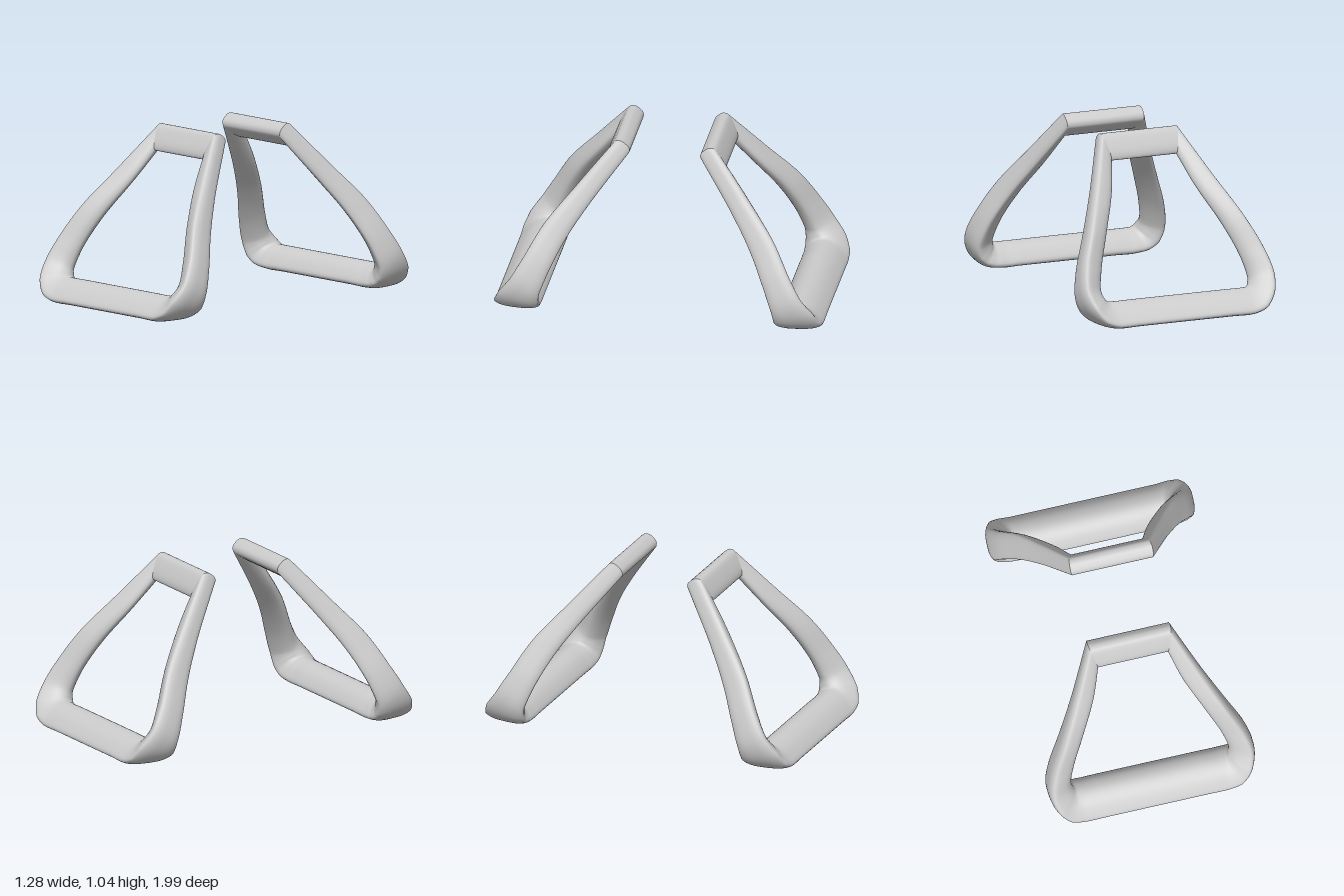
import * as THREE from 'three';

// Half of the frame, from the top corner down to the bottom bar:
// outer point, inner point, half thickness, tilt of the section in degrees
const STATIONS = [
  [[0.255, 1.022, 0.24], [0.215, 0.89, 0.36], 0.055, 40],
  [[0.40, 0.74, 0.465], [0.275, 0.72, 0.49], 0.065, 37],
  [[0.515, 0.527, 0.625], [0.38, 0.51, 0.64], 0.08, 31],
  [[0.605, 0.33, 0.73], [0.455, 0.33, 0.735], 0.087, 28],
  [[0.635, 0.19, 0.80], [0.485, 0.20, 0.79], 0.10, 24],
  [[0.605, 0.09, 0.845], [0.478, 0.168, 0.81], 0.125, 14],
  [[0.54, 0.025, 0.86], [0.463, 0.15, 0.835], 0.138, 4],
  [[0.45, 0, 0.86], [0.43, 0.147, 0.845], 0.14, 0],
  [[0.30, 0, 0.86], [0.30, 0.147, 0.845], 0.14, 0],
];

// D-shaped section: x = depth from the flat outer side, y = across the thickness
const SECTION = new THREE.CatmullRomCurve3(
  [[0, 0], [0.05, 0.7], [0.2, 1], [0.55, 0.8], [0.86, 0.45], [1, 0],
    [0.86, -0.45], [0.55, -0.8], [0.2, -1], [0.05, -0.7]]
    .map(([u, v]) => new THREE.Vector3(u, v, 0)), true).getPoints(40).slice(0, -1);

// Skin a row of closed rings
function loft(rings) {
  const n = rings[0].length, index = [];
  for (let i = 0; i < rings.length - 1; i++) {
    for (let j = 0; j < n; j++) {
      const k = (j + 1) % n;
      const a = i * n + j, b = i * n + k, c = a + n, d = b + n;
      index.push(a, b, c, b, d, c);
    }
  }
  const geometry = new THREE.BufferGeometry().setFromPoints(rings.flat());
  geometry.setIndex(index);
  geometry.computeVertexNormals();
  return geometry;
}

function frameRings() {
  const mirror = ([x, y, z]) => [-x, y, z];
  const all = [...STATIONS,
    ...STATIONS.map(([o, i, h, a]) => [mirror(o), mirror(i), h, a]).reverse()];
  const curve = (pick) => new THREE.CatmullRomCurve3(all.map(pick));
  const outer = curve(s => new THREE.Vector3(...s[0]));
  const inner = curve(s => new THREE.Vector3(...s[1]));
  // Thickness vectors, interpolated between stations
  const across = all.map(([, , h, a]) => {
    const r = THREE.MathUtils.degToRad(a);
    return new THREE.Vector3(0, Math.sin(r) * h, Math.cos(r) * h);
  });
  const steps = (all.length - 1) * 6, rings = [];
  for (let s = 0; s <= steps; s++) {
    const t = s / steps, f = t * (all.length - 1);
    const k = Math.min(Math.floor(f), all.length - 2);
    const o = outer.getPoint(t), depth = inner.getPoint(t).sub(o);
    const e = across[k].clone().lerp(across[k + 1], f - k);
    rings.push(SECTION.map(p =>
      o.clone().addScaledVector(depth, p.x).addScaledVector(e, p.y)));
  }
  return rings;
}

export function createModel() {
  const model = new THREE.Group();
  model.name = 'framePair';
  const grey = new THREE.MeshStandardMaterial({ color: 0xcccccc });
  grey.name = 'light grey';

  const rings = frameRings();
  const parts = {
    legsAndBottomBar: loft(rings),
    topBar: loft([rings[rings.length - 1], rings[0]]), // separate for crisp corners
  };

  // Two leaning frames, the second turned half way round
  ['frontFrame', 'backFrame'].forEach((name, i) => {
    const frame = new THREE.Group();
    frame.name = name;
    for (const [part, geometry] of Object.entries(parts)) {
      const mesh = new THREE.Mesh(geometry, grey);
      mesh.name = part;
      mesh.position.x = -0.006;
      frame.add(mesh);
    }
    frame.rotation.y = i * Math.PI;
    model.add(frame);
  });
  return model;
}
